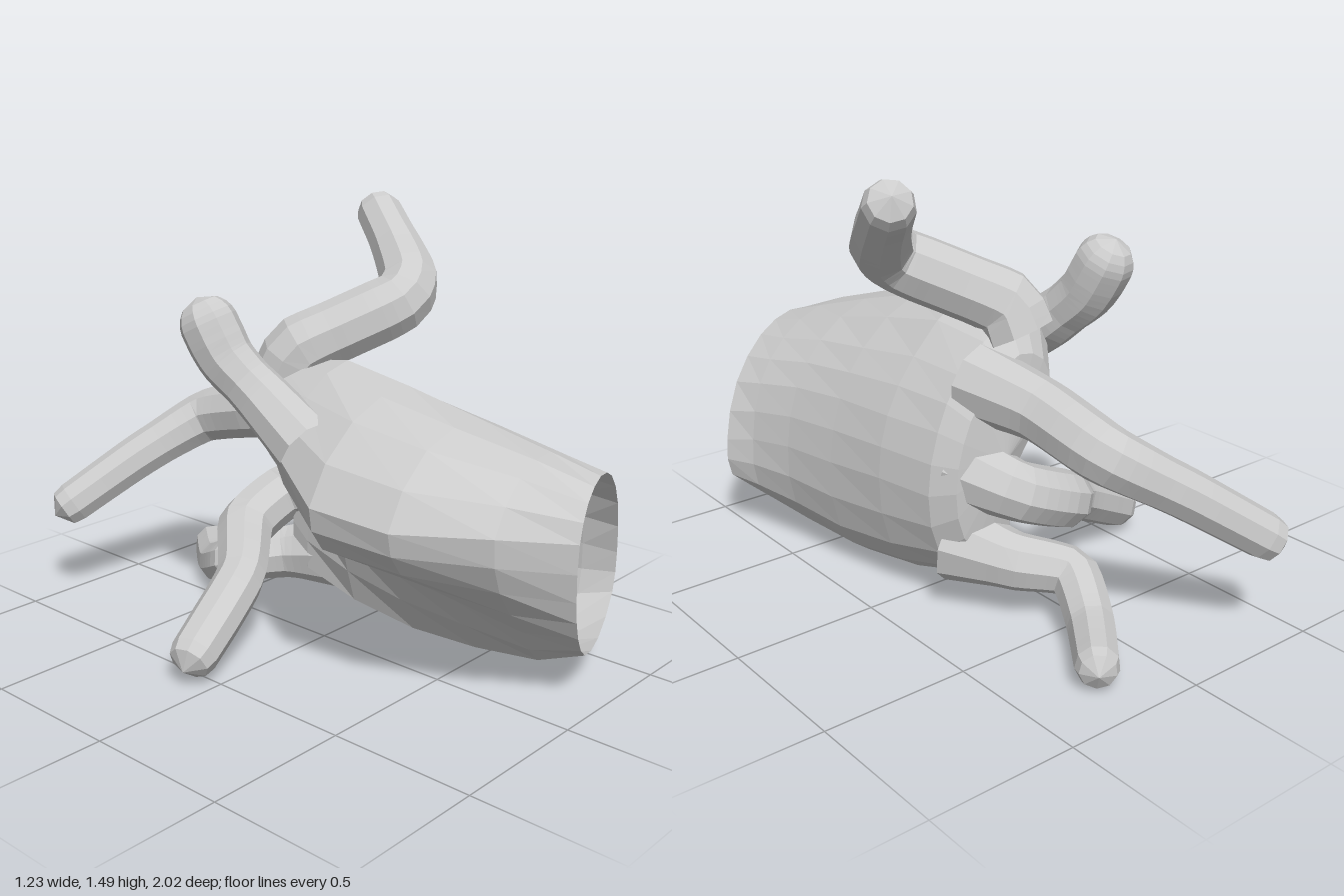
import * as THREE from 'three';

const material = new THREE.MeshStandardMaterial({
  color: 0xcccccc, flatShading: true, side: THREE.DoubleSide,
});

// Cross-sections from the wrist opening to the knuckles:
// z, slant, then x, y pairs counterclockwise as seen from the front
const SECTIONS = [
  [0.9, 1, .57, .38, .5, .58, .36, .72, .2, .77, .06, .73, 0, .62, .03, .42, .1, .27, .22, .16, .4, .14, .56, .24],
  [0.75, .6, .52, .4, .47, .6, .35, .74, .17, .82, -.06, .8, -.22, .66, -.16, .47, .03, .27, .18, .11, .37, .1, .51, .22],
  [0.54, .2, .48, .42, .43, .63, .32, .78, .12, .89, -.18, .86, -.37, .65, -.3, .5, -.03, .34, .14, .1, .33, .06, .46, .2],
  [0.3, 0, .45, .43, .4, .65, .3, .81, .08, .96, -.2, .9, -.4, .67, -.34, .52, -.03, .37, .12, .1, .3, .05, .42, .18],
  [0.05, 0, .42, .45, .38, .66, .27, .84, .06, 1.01, -.14, .92, -.28, .76, -.18, .55, .03, .39, .1, .14, .27, .08, .38, .2],
  [-0.17, 0, .38, .45, .34, .66, .25, .83, .05, .98, -.08, .93, -.12, .78, -.01, .6, .1, .42, .1, .2, .22, .13, .34, .24],
];
const SIDES = 22;

function palmGeometry() {
  const rings = SECTIONS.map(([z, slant, ...xy]) => {
    const pts = [];
    for (let i = 0; i < xy.length; i += 2) {
      const tilt = -0.33 * (xy[i] - 0.3) + 0.04 * (xy[i + 1] - 0.45);
      pts.push(new THREE.Vector3(xy[i], xy[i + 1], z + slant * tilt));
    }
    return new THREE.CatmullRomCurve3(pts, true).getPoints(SIDES).slice(0, SIDES);
  });
  // Round off the knuckle end with a shrunken ring and a closing point
  const centre = new THREE.Vector3(0.15, 0.55, -0.28);
  rings.push(rings[rings.length - 1].map((p) => {
    const q = p.clone().lerp(centre, 0.22);
    q.z = -0.25;
    return q;
  }));
  rings.push(Array.from({ length: SIDES }, () => centre.clone()));

  const index = [];
  for (let i = 0; i < rings.length - 1; i++) {
    for (let j = 0; j < SIDES; j++) {
      const k = (j + 1) % SIDES;
      const a = i * SIDES + j, b = i * SIDES + k;
      const c = b + SIDES, d = a + SIDES;
      index.push(a, d, b);
      if (i < rings.length - 2) index.push(b, d, c);
    }
  }
  const geometry = new THREE.BufferGeometry().setFromPoints(rings.flat());
  geometry.setIndex(index);
  geometry.computeVertexNormals();
  return geometry;
}

// Bent tube with a rounded tip; radii are spread evenly from base to tip
function fingerGeometry(points, radii) {
  const curve = new THREE.CatmullRomCurve3(
    points.map((p) => new THREE.Vector3(...p)), false, 'catmullrom', 0.3);
  const steps = 28, sides = 9, length = curve.getLength();
  const geometry = new THREE.TubeGeometry(curve, steps, 1, sides);
  const position = geometry.attributes.position;
  const v = new THREE.Vector3();
  for (let i = 0; i <= steps; i++) {
    const u = i / steps;
    const centre = curve.getPointAt(u);
    const s = u * (radii.length - 1);
    const k = Math.min(Math.floor(s), radii.length - 2);
    let radius = THREE.MathUtils.lerp(radii[k], radii[k + 1], s - k);
    const intoTip = Math.max(0, 1 - (length * (1 - u)) / radius);
    radius *= Math.sqrt(Math.max(0, 1 - intoTip * intoTip));
    for (let j = 0; j <= sides; j++) {
      const n = i * (sides + 1) + j;
      v.fromBufferAttribute(position, n).sub(centre).multiplyScalar(radius).add(centre);
      position.setXYZ(n, v.x, v.y, v.z);
    }
  }
  geometry.computeVertexNormals();
  return geometry;
}

// name, path from knuckle to tip, radii from base to tip
const FINGERS = [
  ['thumb', [[-.21, .78, .12], [-.2, .9, -.08], [-.24, 1.03, -.22], [-.27, 1.22, -.32]], [.11, .1, .09, .1, .1]],
  ['indexFinger', [[.02, .93, -.19], [.04, 1.02, -.15], [.16, 1.09, -.05], [.31, 1.17, .06], [.39, 1.23, .04], [.47, 1.32, -.08], [.57, 1.47, -.28]], [.12, .11, .11, .1, .085, .08]],
  ['middleFinger', [[.17, .79, -.15], [.11, .75, -.4], [.08, .68, -.66], [-.13, .54, -.81], [-.41, .34, -.97]], [.13, .105, .1, .085, .08, .076]],
  ['ringFinger', [[.25, .52, -.13], [.13, .45, -.31], [-.06, .37, -.32], [-.25, .27, -.16], [-.61, .08, -.06]], [.13, .1, .1, .085, .085, .08]],
  ['littleFinger', [[.24, .24, -.13], [.15, .21, -.32], [.02, .18, -.46], [.1, .1, -.64], [.28, .09, -.87]], [.14, .1, .085, .08, .075, .068]],
];

export function createModel() {
  const hand = new THREE.Group();
  hand.name = 'hand';

  const palm = new THREE.Mesh(palmGeometry(), material);
  palm.name = 'palm';
  hand.add(palm);

  for (const [name, path, radii] of FINGERS) {
    const finger = new THREE.Mesh(fingerGeometry(path, radii), material);
    finger.name = name;
    hand.add(finger);
  }
  return hand;
}
